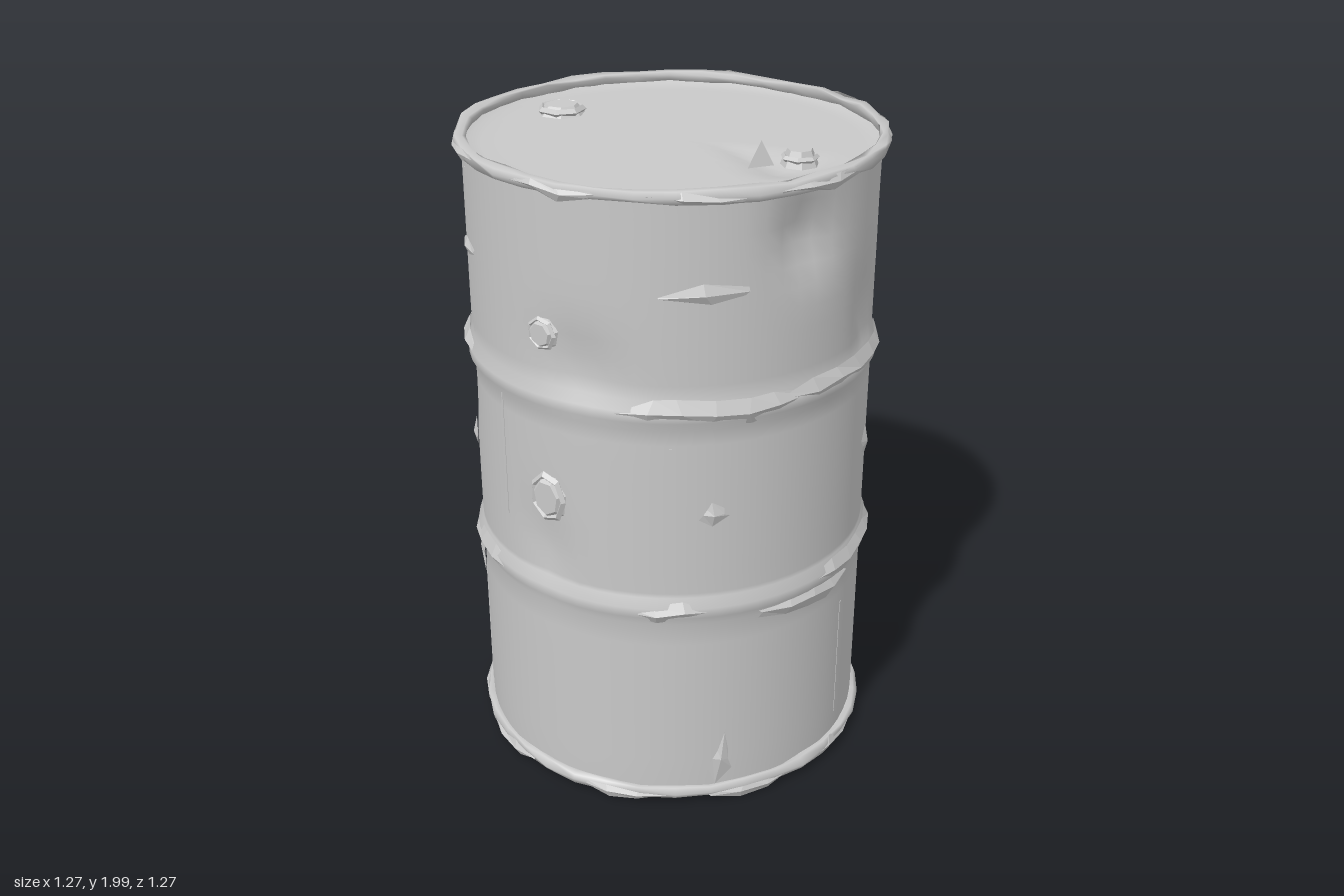
import * as THREE from 'three';
import { mergeVertices } from 'three/addons/utils/BufferGeometryUtils.js';

const steel = new THREE.MeshStandardMaterial({ color: 0xc8c8c8, side: THREE.DoubleSide });
steel.name = 'worn grey steel';

let seed = 7;
const rand = () => ((seed = (seed * 16807) % 2147483647) / 2147483647);
const jitter = (s) => (rand() - 0.5) * 2 * s;
const polar = (r, a, y) => new THREE.Vector3(r * Math.sin(a), y, r * Math.cos(a));

// Dents in the shell: angle (0 = front, positive to +x), height, widths, depth
const dents = [
  [-0.72, 1.22, 0.16, 0.1, 0.03], [0.42, 1.45, 0.2, 0.1, 0.025], [1.5, 1.8, 0.14, 0.1, 0.05],
  [2.05, 1.5, 0.12, 0.12, 0.03], [0.2, 0.85, 0.12, 0.12, 0.02], [-0.75, 0.4, 0.1, 0.25, 0.02],
  [2.6, 1.78, 0.2, 0.12, 0.03], [-2.2, 1.1, 0.15, 0.12, 0.025], [-1.6, 1.7, 0.15, 0.1, 0.02],
];

function dentDepth(a, y) {
  let d = 0;
  for (const [da, dy, wa, wy, depth] of dents) {
    const t = Math.atan2(Math.sin(a - da), Math.cos(a - da));
    d += depth * Math.exp(-((t / wa) ** 2) - ((y - dy) / wy) ** 2);
  }
  return d;
}

// Lathe a profile, then move each vertex by a rule and rebuild smooth normals
function turned(profile, segments, rule) {
  let g = new THREE.LatheGeometry(profile.map(([r, y]) => new THREE.Vector2(r, y)), segments);
  g.deleteAttribute('uv');
  g.deleteAttribute('normal');
  g = mergeVertices(g, 1e-4);
  const p = g.attributes.position;
  const v = new THREE.Vector3();
  for (let i = 0; i < p.count; i++) {
    rule(v.fromBufferAttribute(p, i));
    p.setXYZ(i, v.x, v.y, v.z);
  }
  g.computeVertexNormals();
  return g;
}

// Jagged curved scrap of sheet lying on the shell
function scrap(a0, a1, y0, y1, r, bulge) {
  const n = Math.max(2, Math.round((a1 - a0) / 0.16));
  const pos = [], idx = [];
  for (let i = 0; i <= n; i++) {
    const a = a0 + ((a1 - a0) * i) / n;
    const end = i === 0 || i === n ? 0.3 : 1;
    const mid = (y0 + y1) / 2 + jitter(0.008);
    const h = ((y1 - y0) / 2) * end;
    pos.push(...polar(r, a + jitter(0.03), mid - h + jitter(0.008)), ...polar(r + bulge * end, a, mid),
      ...polar(r, a + jitter(0.03), mid + h + jitter(0.008)));
    if (i < n) {
      for (let k = 0; k < 2; k++) {
        const b = i * 3 + k;
        idx.push(b, b + 3, b + 1, b + 1, b + 3, b + 4);
      }
    }
  }
  const g = new THREE.BufferGeometry();
  g.setAttribute('position', new THREE.Float32BufferAttribute(pos, 3));
  g.setIndex(idx);
  const flat = g.toNonIndexed();
  flat.computeVertexNormals();
  return flat;
}

export function createModel() {
  const drum = new THREE.Group();
  drum.name = 'drum';
  const add = (name, geometry, parent = drum) => {
    const mesh = new THREE.Mesh(geometry, steel);
    mesh.name = name;
    parent.add(mesh);
    return mesh;
  };

  // Dented shell with two rolled hoops
  const profile = [[0.605, 0.05]];
  for (let y = 0.1; y < 1.91; y += 0.06) {
    if (Math.abs(y - 0.7) > 0.06 && Math.abs(y - 1.33) > 0.06) profile.push([0.606, y]);
  }
  for (const y of [0.7, 1.33]) profile.push([0.606, y - 0.045], [0.622, y - 0.015], [0.622, y + 0.015], [0.606, y + 0.045]);
  profile.push([0.606, 1.95]);
  profile.sort((a, b) => a[1] - b[1]);
  add('shell', turned(profile, 64, (v) => {
    const a = Math.atan2(v.x, v.z);
    const k = 1 - dentDepth(a, v.y) / 0.606;
    v.x *= k;
    v.z *= k;
  }));

  // Bottom plate, and lid with a crease running in from the right bung
  add('bottomPlate', new THREE.CircleGeometry(0.605, 48).rotateX(Math.PI / 2).translate(0, 0.045, 0));
  const lidProfile = [[0.605, 1.945], [0.585, 1.935]];
  for (let i = 11; i >= 0; i--) lidProfile.push([i * 0.05, 1.932]);
  add('lid', turned(lidProfile, 64, (v) => {
    const along = THREE.MathUtils.clamp((v.x - 0.12) / 0.3, 0, 1);
    const fade = THREE.MathUtils.clamp((0.52 - v.x) / 0.1, 0, 1);
    v.y -= 0.035 * along * fade * Math.max(0, 1 - Math.abs(v.z + 0.06) / (0.02 + 0.12 * along));
  }));

  // Battered rolled rims
  const rim = (name, y) => add(name, turned(
    [[0.592, y + 0.01], [0.6, y - 0.015], [0.622, y - 0.017], [0.628, y], [0.622, y + 0.017], [0.6, y + 0.015], [0.592, y + 0.01]],
    36, (v) => {
      const k = 1 + jitter(0.009);
      v.set(v.x * k, v.y + jitter(0.006), v.z * k);
    }));
  rim('topRim', 1.955);
  rim('bottomRim', 0.045);

  // Bent slivers hanging off the rims
  for (let i = 0; i < 9; i++) {
    const a = i * 0.7 + jitter(0.15);
    add('topRimSliver', scrap(a, a + 0.45, 1.935, 1.968, 0.622, 0.012));
    add('bottomRimSliver', scrap(a + 0.3, a + 0.75, 0.015, 0.055, 0.622, 0.012));
  }

  // Torn pieces of the hoops: start angle, end angle, height
  for (const [a0, a1, y] of [
    [0.6, 1.5, 1.34], [1.4, 2.4, 1.35], [-1.4, -0.35, 1.35], [2.7, 3.5, 1.33], [-2.5, -1.7, 1.32],
    [1.3, 1.9, 0.66], [1.6, 2.5, 0.71], [-0.7, -0.05, 0.7], [0.65, 1.05, 0.7], [-1.9, -1.2, 0.7], [2.9, 3.7, 0.69],
  ]) add('hoopPiece', scrap(a0, a1, y - 0.035, y + 0.035, 0.614, 0.018));

  // Loose flakes on the shell: angle, height, angular width, height span
  for (const [a, y, w, h] of [
    [-0.6, 1.02, 0.14, 0.11], [1.05, 1.02, 0.1, 0.09], [1.0, 1.68, 0.4, 0.05], [-0.42, 1.67, 0.2, 0.04],
    [2.15, 1.03, 0.1, 0.1], [2.7, 1.05, 0.15, 0.12], [-2.4, 1.05, 0.12, 0.1], [-1.25, 1.66, 0.3, 0.05],
    [1.1, 0.16, 0.08, 0.2], [3.5, 1.66, 0.3, 0.05], [-2.0, 1.85, 0.15, 0.1], [-0.55, 0.62, 0.08, 0.2],
  ]) add('flake', scrap(a - w / 2, a + w / 2, y - h / 2, y + h / 2, 0.609, 0.012));

  // Vertical weld seams, slightly proud of the shell
  for (const [a, y, h] of [[-0.42, 1.65, 0.5], [-0.08, 1.1, 0.42], [0.85, 1, 0.46], [1.9, 0.33, 0.42],
    [-0.58, 0.33, 0.46], [2.75, 1, 0.5], [-2.8, 0.36, 0.5], [-1.9, 1.6, 0.4]]) {
    const seam = add('seam', new THREE.BoxGeometry(0.008, h, 0.008));
    seam.position.copy(polar(0.603, a, y));
    seam.rotation.y = a;
  }

  // Crumpled faceted plug with a raised collar, its axis along +y
  function plug(name, r, h) {
    const g = new THREE.Group();
    g.name = name;
    const body = new THREE.CylinderGeometry(r * 0.65, r, h, 7).toNonIndexed();
    body.computeVertexNormals();
    add('plugBody', body, g).position.y = h / 2;
    const collar = new THREE.TorusGeometry(r * 0.85, r * 0.16, 4, 7).rotateX(Math.PI / 2).toNonIndexed();
    collar.computeVertexNormals();
    add('plugCollar', collar, g).position.y = h * 0.5;
    drum.add(g);
    return g;
  }

  // Lid bungs
  plug('largeBung', 0.075, 0.03).position.set(-0.42, 1.93, 0.08);
  plug('smallBung', 0.055, 0.045).position.set(0.41, 1.925, -0.11);

  // Punctured bumps on the front
  for (const [x, y, r] of [[0.14, 1.53, 0.05], [0.14, 1.02, 0.065]]) {
    const bump = plug('frontBump', r, 0.025);
    const a = Math.asin(x / 0.6);
    bump.position.copy(polar(0.598, a, y));
    bump.rotation.set(Math.PI / 2, 0, -a);
    bump.scale.z = r > 0.06 ? 1.25 : 1;
  }

  // Bent tab standing beside the small bung
  const tab = add('lidTab', new THREE.ConeGeometry(0.05, 0.07, 3).toNonIndexed());
  tab.geometry.computeVertexNormals();
  tab.position.set(0.35, 1.963, -0.02);
  tab.scale.x = 0.6;

  return drum;
}
